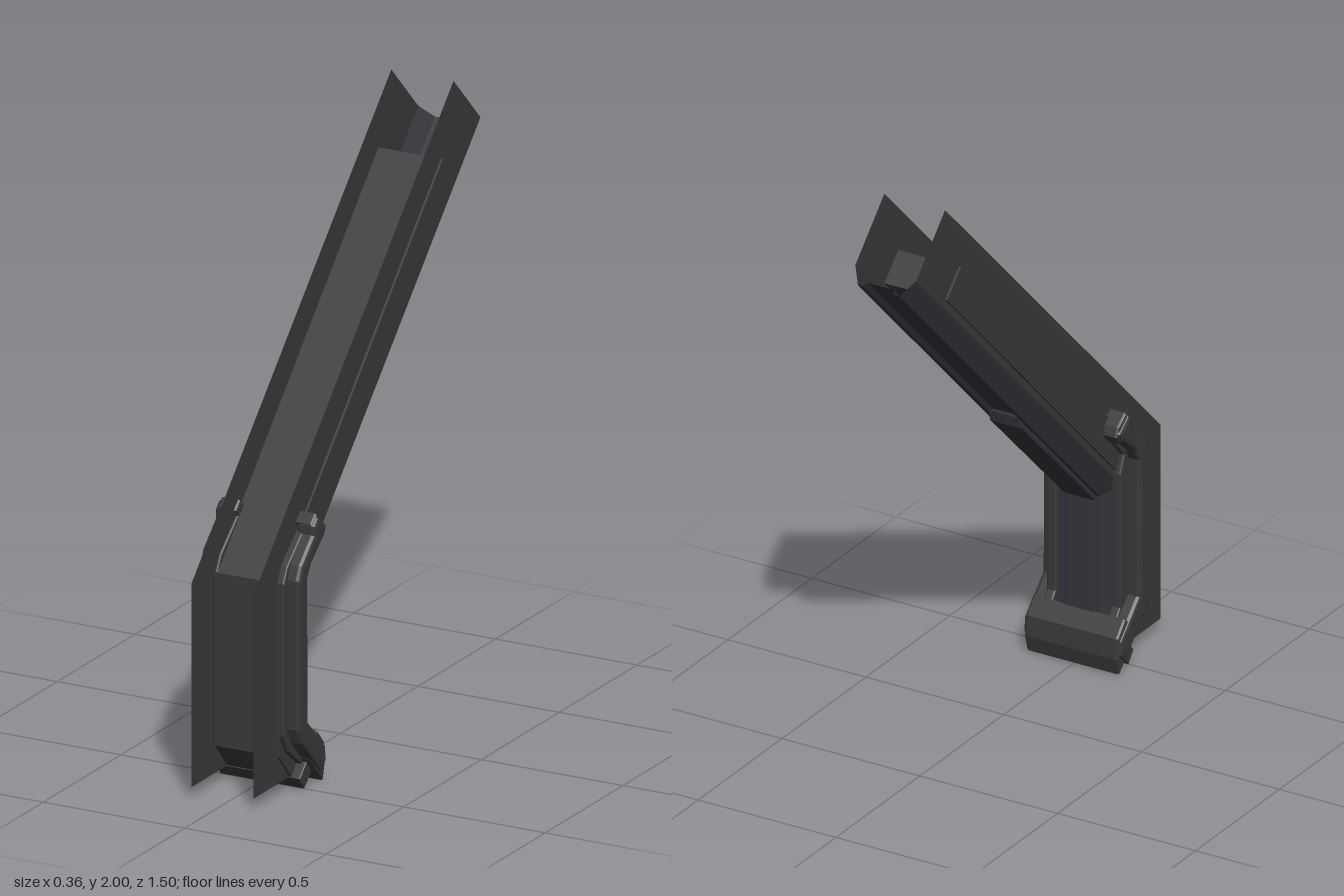
import * as THREE from 'three';

const dark = new THREE.MeshStandardMaterial({ color: 0x3a3a3a, flatShading: true, side: THREE.DoubleSide });
const blueDark = new THREE.MeshStandardMaterial({ color: 0x34343c, flatShading: true, side: THREE.DoubleSide });

// Extrudes a side outline given as [z, y] points from x0 to x1
function sideSolid(name, points, x0, x1, material = dark, bevel = 0) {
  const shape = new THREE.Shape(points.map(([z, y]) => new THREE.Vector2(z, y)));
  const geometry = new THREE.ExtrudeGeometry(shape, {
    depth: x1 - x0 - 2 * bevel, bevelEnabled: bevel > 0,
    bevelThickness: bevel, bevelSize: bevel, bevelOffset: -bevel, bevelSegments: 2,
  });
  geometry.rotateY(-Math.PI / 2);
  geometry.translate(x1 - bevel, 0, 0);
  const mesh = new THREE.Mesh(geometry, material);
  mesh.name = name;
  return mesh;
}

// Points of the bent body at a given depth behind its front edge
const stations = (d) => [
  [0.755 - d, 0.04],
  [0.755 - d, 0.71 - 0.414 * d],
  [-0.53 - 0.707 * d, 2.0 - 0.707 * d],
];

// Sweeps an open [x, depth] profile along the bent body
function sweep(name, profile, material) {
  const positions = [], index = [];
  profile.forEach(([x, d]) => stations(d).forEach(([z, y]) => positions.push(x, y, z)));
  for (let i = 0; i < profile.length - 1; i++) {
    for (let j = 0; j < 2; j++) {
      const a = i * 3 + j, b = a + 3;
      index.push(a, a + 1, b, b, a + 1, b + 1);
    }
  }
  const geometry = new THREE.BufferGeometry();
  geometry.setAttribute('position', new THREE.Float32BufferAttribute(positions, 3));
  geometry.setIndex(index);
  geometry.computeVertexNormals();
  const mesh = new THREE.Mesh(geometry, material);
  mesh.name = name;
  return mesh;
}

export function createModel() {
  const group = new THREE.Group();
  group.name = 'bentChannel';

  // Thin side plates and the chamfered, grooved back
  for (const s of [1, -1]) {
    group.add(sweep(s > 0 ? 'leftPlate' : 'rightPlate', [[s * 0.11, 0], [s * 0.11, 0.245]], dark));
  }
  const half = [[0.11, 0.245], [0.075, 0.305], [0.058, 0.305], [0.045, 0.29]];
  const mirrored = half.map(([x, d]) => [-x, d]).reverse();
  group.add(sweep('backTrough', [...half, ...mirrored], blueDark));

  // Recessed core between the plates
  group.add(sideSolid('core', [
    [0.605, 0.13], [0.605, 0.7], [-0.447, 1.77], [-0.53, 1.69], [0.5, 0.65], [0.5, 0.01],
  ], -0.118, 0.118));

  // Shallow strip on the front of the core
  const strip = new THREE.Mesh(new THREE.BoxGeometry(0.055, 0.57, 0.008), dark);
  strip.name = 'frontStrip';
  strip.position.set(0.082, 0.415, 0.606);
  group.add(strip);

  // Raised rail on the lower back
  group.add(sideSolid('backRail', [
    [0.448, 0.12], [0.448, 0.565], [0.03, 0.98], [0.01, 1.0], [0.0, 1.04], [0.03, 1.04], [0.48, 0.6], [0.48, 0.12],
  ], -0.058, 0.058, blueDark, 0.006));

  // Side guards: a wide base, a raised ridge and a cap at the upper end
  for (const s of [1, -1]) {
    const side = s > 0 ? 'left' : 'right';
    const add = (name, points, inner, outer, bevel) =>
      group.add(sideSolid(side + name, points, s > 0 ? inner : -outer, s > 0 ? outer : -inner, dark, bevel));
    add('GuardBase', [
      [0.44, 0.87], [0.58, 0.75], [0.605, 0.7], [0.605, 0.2], [0.575, 0.14], [0.46, 0.05],
      [0.42, 0.12], [0.475, 0.2], [0.475, 0.66], [0.5, 0.72], [0.42, 0.81],
    ], 0.1, 0.135, 0.006);
    add('GuardRidge', [
      [0.46, 0.885], [0.485, 0.86], [0.485, 0.83], [0.565, 0.755], [0.585, 0.71], [0.585, 0.22], [0.565, 0.17], [0.44, 0.04],
      [0.405, 0.07], [0.41, 0.12], [0.52, 0.23], [0.525, 0.7], [0.5, 0.745], [0.42, 0.81], [0.4, 0.84],
    ], 0.11, 0.178, 0.014);
    add('GuardCap', [
      [0.455, 0.893], [0.485, 0.865], [0.455, 0.815], [0.42, 0.8], [0.398, 0.83], [0.41, 0.86],
    ], 0.1, 0.17, 0.01);
  }

  // Foot joining both guards at the lower back
  group.add(sideSolid('foot', [
    [0.5, 0.1], [0.455, 0.045], [0.415, 0.004], [0.4, 0.06], [0.405, 0.13], [0.45, 0.18], [0.49, 0.16],
  ], -0.17, 0.17, dark, 0.01));
  group.add(sideSolid('footLip', [
    [0.53, 0.04], [0.5, 0.0], [0.455, 0.045], [0.48, 0.09],
  ], -0.15, 0.15, dark, 0.004));

  return group;
}
